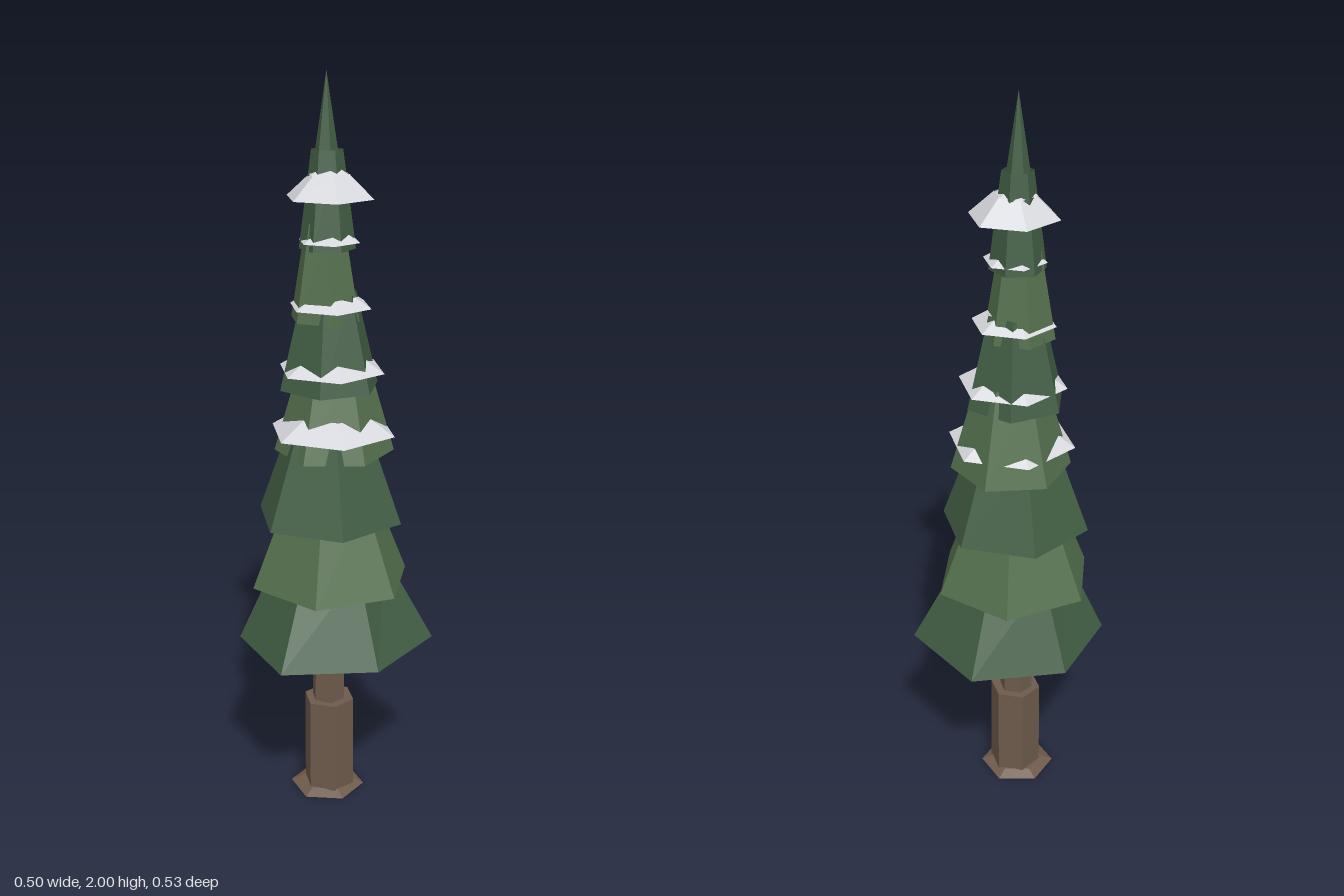
import * as THREE from 'three';

const mat = (color, side = THREE.FrontSide) =>
  new THREE.MeshStandardMaterial({ color, side, flatShading: true });

const darkGreen = mat(0x425e44, THREE.DoubleSide);
const lightGreen = mat(0x55704e, THREE.DoubleSide);
const snow = mat(0xd6d8dd, THREE.DoubleSide);
const bark = mat(0x6e5b4c);

// Six-sided frustum from y0 to y1; angle (degrees) places a corner, 0 = +x, 90 = -z
function hex(name, material, { y0, y1, r0, r1, x = -0.02, z = 0, angle = 0, open = false, rim }) {
  const geo = new THREE.CylinderGeometry(r1, r0, y1 - y0, 6, 1, open,
    THREE.MathUtils.degToRad(90 + angle));
  if (rim) { // uneven lower rim
    const p = geo.attributes.position;
    for (let i = 0; i < 7; i++) {
      const k = 7 + i, s = rim[i % 6];
      p.setXYZ(k, p.getX(k) * s, p.getY(k), p.getZ(k) * s);
    }
    geo.computeVertexNormals();
  }
  const mesh = new THREE.Mesh(geo, material);
  mesh.name = name;
  mesh.position.set(x, (y0 + y1) / 2, z);
  return mesh;
}

export function createModel() {
  const tree = new THREE.Group();
  tree.name = 'snowyFirTree';

  // Trunk: flared foot, thick lower part, thin upper part
  tree.add(
    hex('trunkFoot', bark, { y0: 0, y1: 0.014, r0: 0.104, r1: 0.072, x: -0.026, angle: 15 }),
    hex('lowerTrunk', bark, { y0: 0.005, y1: 0.28, r0: 0.072, r1: 0.071, angle: 3 }),
    hex('upperTrunk', bark, { y0: 0.28, y1: 0.85, r0: 0.047, r1: 0.04, x: -0.022 }),
  );

  // Hollow branch tiers: rim radius, centre x, centre z
  const tiers = [
    [0.262, -0.012, 0], [0.222, -0.014, 0.004], [0.203, -0.018, 0], [0.16, -0.012, -0.02],
    [0.136, -0.018, 0], [0.094, -0.028, 0.004], [0.073, -0.023, 0],
  ];
  tiers.forEach(([r, x, z], i) => {
    const y0 = 0.467 + i * 0.182;
    tree.add(hex(`branchTier${i + 1}`, i % 2 ? lightGreen : darkGreen, {
      y0, y1: y0 + 0.25, r0: r, r1: r * 0.55, x, z, angle: 20.5 + i * 20, open: true,
      rim: i === 0 ? [1.068, 1.015, 0.947, 0.977, 1.023, 0.947] : undefined,
    }));
  });

  // Pointed tip
  tree.add(hex('treeTip', darkGreen,
    { y0: 1.735, y1: 2, r0: 0.04, r1: 0, x: -0.024, z: 0.002, angle: 10, open: true }));

  // Thin snow rings resting on the upper tiers
  const rings = [[0.173, -0.007], [0.146, -0.01], [0.112, -0.013], [0.083, -0.016], [0.056, -0.018]];
  rings.forEach(([r, x], i) => {
    const y0 = 1.075 + i * 0.168;
    tree.add(hex(`snowRing${i + 1}`, snow,
      { y0, y1: y0 + 0.28 * r, r0: r, r1: r * 0.55, x, z: 0.004, open: true }));
  });

  // Larger snow cap below the tip
  tree.add(hex('snowCap', snow,
    { y0: 1.69, y1: 1.75, r0: 0.118, r1: 0.052, x: -0.013, z: 0.006, open: true }));

  return tree;
}
